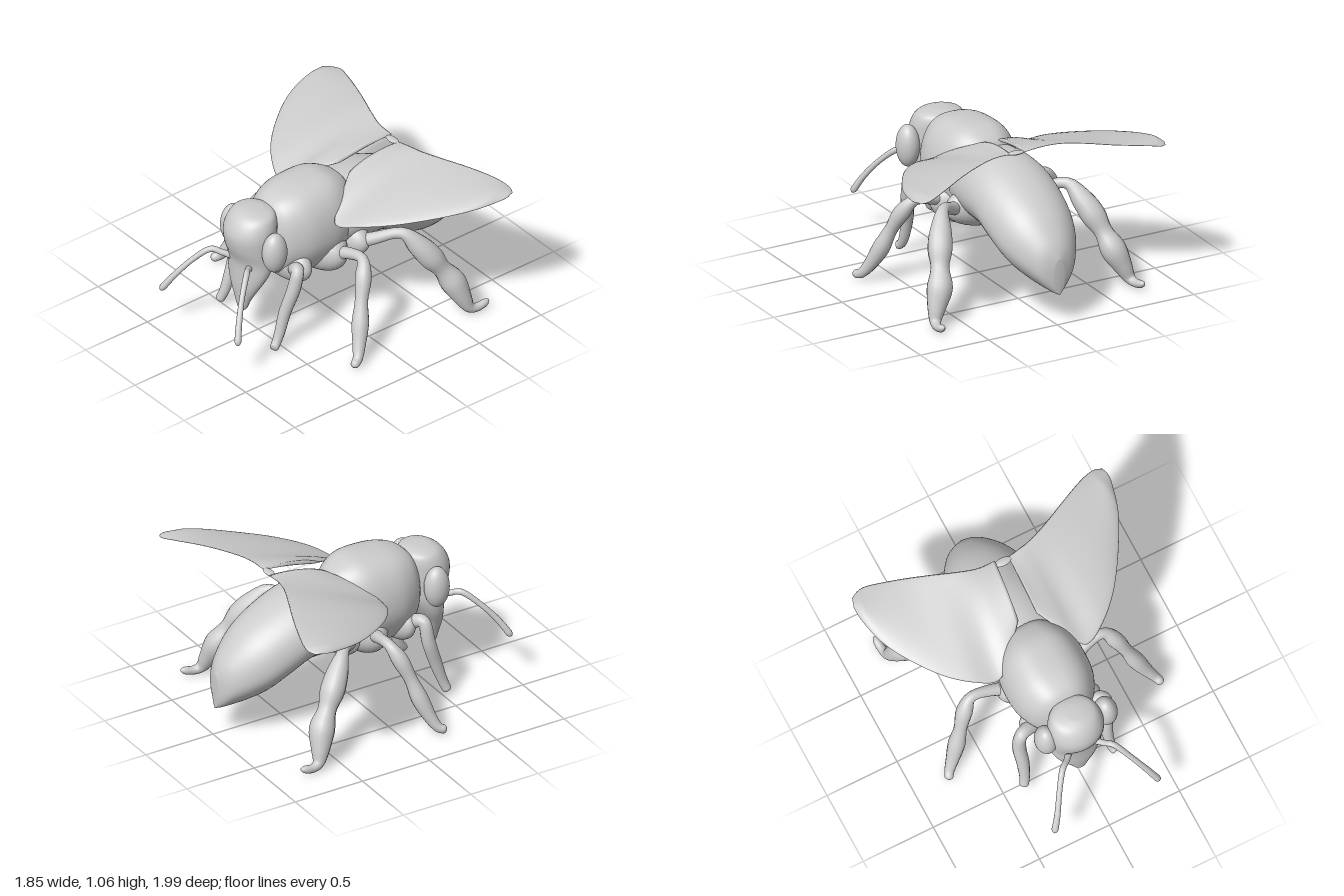
import * as THREE from 'three';

// Smooth interpolation of every column of a table of sections
function sample(rows, n) {
  const curves = rows[0].map((_, c) => new THREE.SplineCurve(rows.map((r, i) => new THREE.Vector2(i, r[c]))));
  return Array.from({ length: n + 1 }, (_, k) => curves.map((s) => s.getPoint(k / n).y));
}

// Closed skin over a list of rings, with capped ends and outward faces
function loft(rings) {
  const m = rings[0].length, pos = [], idx = [];
  rings.forEach((ring) => ring.forEach((p) => pos.push(p.x, p.y, p.z)));
  for (let i = 0; i < rings.length - 1; i++) {
    for (let j = 0; j < m; j++) {
      const a = i * m + j, b = i * m + (j + 1) % m;
      idx.push(a, b, a + m, b, b + m, a + m);
    }
  }
  [0, rings.length - 1].forEach((i) => {
    const c = new THREE.Vector3();
    rings[i].forEach((p) => c.addScaledVector(p, 1 / m));
    const centre = pos.length / 3;
    pos.push(c.x, c.y, c.z);
    for (let j = 0; j < m; j++) {
      const a = i * m + j, b = i * m + (j + 1) % m;
      if (i === 0) idx.push(centre, b, a);
      else idx.push(centre, a, b);
    }
  });
  // Turn the faces round if the enclosed volume is negative
  const v = (i) => new THREE.Vector3().fromArray(pos, i * 3);
  let volume = 0;
  for (let i = 0; i < idx.length; i += 3) volume += v(idx[i]).dot(v(idx[i + 1]).cross(v(idx[i + 2])));
  if (volume < 0) idx.reverse();
  const g = new THREE.BufferGeometry();
  g.setAttribute('position', new THREE.Float32BufferAttribute(pos, 3));
  g.setIndex(idx);
  g.computeVertexNormals();
  return g;
}

const angles = (m) => Array.from({ length: m }, (_, j) => (j / m) * Math.PI * 2);

// Body segment: rows of [z, top, bottom, half width], narrower below; a low power makes it squarer
function bodyGeometry(rows, centreX, pinch, power) {
  return loft(sample(rows, 40).map(([z, top, bottom, rx]) => angles(56).map((a) => {
    const s = Math.sin(a), c = Math.cos(a), narrow = s < 0 ? 1 - pinch * s * s : 1;
    const x = centreX + rx * Math.sign(c) * Math.abs(c) ** power * narrow;
    return new THREE.Vector3(x, (top + bottom) / 2 + s * (top - bottom) / 2, z);
  })));
}

// Head: rows of [y, front z, back z, half width]
function headGeometry(rows) {
  return loft(sample(rows, 40).map(([y, front, back, rx]) => angles(40).map((a) =>
    new THREE.Vector3(-0.012 + rx * Math.cos(a), y, (front + back) / 2 + Math.sin(a) * (front - back) / 2))));
}

// Limb: rows of [x, y, z, radius] with rounded ends
function limbGeometry(rows) {
  const n = 40, pts = sample(rows, n);
  const p = pts.map((q) => new THREE.Vector3(q[0], q[1], q[2]));
  const normal = new THREE.Vector3(0.1, 0.3, 1);
  return loft(p.map((c, k) => {
    const t = p[Math.min(k + 1, n)].clone().sub(p[Math.max(k - 1, 0)]).normalize();
    normal.addScaledVector(t, -normal.dot(t)).normalize();
    const side = t.clone().cross(normal);
    const r = pts[k][3] * Math.sqrt(Math.min(1, (k + 0.2) / 2, (n - k + 0.2) / 2));
    return angles(14).map((a) => c.clone().addScaledVector(normal, r * Math.cos(a)).addScaledVector(side, r * Math.sin(a)));
  }));
}

// Wing: rows of leading edge point then trailing edge point; arched, thicker in front, thin at the tip
function wingGeometry(rows) {
  return loft(sample(rows, 40).map((q) => {
    const lead = new THREE.Vector3(q[0], q[1], q[2]), trail = new THREE.Vector3(q[3], q[4], q[5]);
    const mid = lead.clone().add(trail).multiplyScalar(0.5), half = lead.clone().sub(mid);
    const thin = Math.min(1, half.length() / 0.12);
    return angles(28).map((a) => {
      const s = Math.sin(a), c = Math.cos(a), p = mid.clone().addScaledVector(half, c);
      p.y += thin * (0.014 * s * (1 + 0.4 * c) + 0.018 * s * s);
      return p;
    });
  }));
}

export function createModel() {
  const group = new THREE.Group();
  const clay = new THREE.MeshStandardMaterial({ color: 0xcccccc });
  clay.name = 'grey clay';
  const add = (name, geometry) => {
    const mesh = new THREE.Mesh(geometry, clay);
    mesh.name = name;
    group.add(mesh);
  };
  const ball = (name, x, y, z, rx, ry, rz) =>
    add(name, new THREE.SphereGeometry(1, 36, 24).scale(rx, ry, rz).translate(x, y, z));

  // Trunk
  add('thorax', bodyGeometry([
    [0.47, 0.86, 0.52, 0.11], [0.42, 0.935, 0.43, 0.185], [0.36, 0.98, 0.39, 0.235], [0.25, 1.01, 0.36, 0.278],
    [0.1, 1.02, 0.345, 0.285], [0, 1.015, 0.35, 0.268], [-0.08, 0.985, 0.38, 0.23], [-0.14, 0.945, 0.41, 0.175],
    [-0.18, 0.88, 0.45, 0.11],
  ], -0.01, 0.35, 0.72));
  add('abdomen', bodyGeometry([
    [0.1, 0.82, 0.45, 0.22], [0, 0.88, 0.42, 0.25], [-0.1, 0.915, 0.405, 0.27], [-0.25, 0.925, 0.4, 0.285],
    [-0.4, 0.905, 0.395, 0.29], [-0.55, 0.85, 0.325, 0.288], [-0.7, 0.775, 0.25, 0.267], [-0.82, 0.69, 0.222, 0.222],
    [-0.92, 0.585, 0.21, 0.158], [-0.97, 0.51, 0.205, 0.105], [-0.998, 0.44, 0.205, 0.035],
  ], -0.02, 0.38, 0.92));

  // Rounded ridges across the belly that carry the legs
  ball('frontHips', 0, 0.51, 0.31, 0.285, 0.155, 0.1);
  ball('middleHips', 0, 0.52, 0.06, 0.315, 0.18, 0.15);
  ball('rearHips', 0, 0.54, -0.13, 0.315, 0.15, 0.12);

  // Head with tapering mouth and big side eyes
  add('head', headGeometry([
    [0.205, 0.63, 0.605, 0.015], [0.23, 0.645, 0.59, 0.04], [0.3, 0.655, 0.57, 0.07], [0.4, 0.665, 0.53, 0.125],
    [0.5, 0.665, 0.47, 0.17], [0.6, 0.67, 0.42, 0.185], [0.7, 0.705, 0.4, 0.187], [0.8, 0.72, 0.39, 0.185],
    [0.88, 0.69, 0.39, 0.17], [0.93, 0.64, 0.41, 0.135], [0.95, 0.58, 0.47, 0.05],
  ]));
  for (const s of [-1, 1]) {
    ball('eye', s * 0.213, 0.725, 0.535, 0.075, 0.142, 0.085);

    // Middle and rear legs, the right pair set a little wider
    const reach = s < 0 ? -1.045 : 1, stride = s < 0 ? 0.86 : 1;
    add('middleLeg', limbGeometry([
      [0.2, 0.52, 0.07, 0.05], [0.34, 0.57, 0.03, 0.038], [0.46, 0.585, 0.02, 0.036], [0.525, 0.5, 0.065, 0.054],
      [0.575, 0.37, 0.12, 0.043], [0.62, 0.24, 0.165, 0.056], [0.67, 0.12, 0.215, 0.043], [0.71, 0.05, 0.26, 0.032],
      [0.735, 0.035, 0.315, 0.028],
    ].map(([x, y, z, r]) => [reach * x, y, stride * z, r])));
    add('rearLeg', limbGeometry([
      [0.2, 0.52, -0.11, 0.05], [0.31, 0.575, -0.19, 0.042], [0.44, 0.635, -0.31, 0.037], [0.505, 0.54, -0.395, 0.07],
      [0.55, 0.44, -0.465, 0.08], [0.585, 0.345, -0.525, 0.06], [0.62, 0.24, -0.585, 0.084], [0.665, 0.13, -0.625, 0.062],
      [0.695, 0.05, -0.66, 0.038], [0.71, 0.033, -0.72, 0.028], [0.715, 0.055, -0.8, 0.026],
    ].map(([x, y, z, r]) => [reach * x, y, z, r])));
  }

  // Front legs, posed differently on each side
  add('leftFrontLeg', limbGeometry([
    [0.18, 0.5, 0.35, 0.05], [0.27, 0.55, 0.395, 0.042], [0.275, 0.43, 0.43, 0.044], [0.248, 0.26, 0.48, 0.04],
    [0.245, 0.12, 0.52, 0.034], [0.25, 0.05, 0.555, 0.03], [0.265, 0.035, 0.585, 0.028],
  ]));
  add('rightFrontLeg', limbGeometry([
    [-0.2, 0.52, 0.34, 0.05], [-0.305, 0.56, 0.38, 0.042], [-0.335, 0.42, 0.4, 0.045], [-0.335, 0.26, 0.45, 0.042],
    [-0.345, 0.12, 0.495, 0.034], [-0.365, 0.04, 0.525, 0.03],
  ]));

  // Bent feelers
  add('leftAntenna', limbGeometry([
    [0.07, 0.57, 0.62, 0.024], [0.12, 0.6, 0.68, 0.02], [0.175, 0.615, 0.735, 0.02], [0.25, 0.52, 0.83, 0.018],
    [0.32, 0.4, 0.91, 0.02], [0.375, 0.28, 0.965, 0.023],
  ]));
  add('rightAntenna', limbGeometry([
    [-0.09, 0.57, 0.62, 0.024], [-0.14, 0.6, 0.68, 0.02], [-0.2, 0.615, 0.735, 0.02], [-0.27, 0.53, 0.83, 0.018],
    [-0.33, 0.42, 0.92, 0.02], [-0.385, 0.31, 0.985, 0.023],
  ]));

  // Wings, joined by a narrow bridge at the back
  add('leftWing', wingGeometry([
    [0.085, 0.97, -0.17, 0.09, 1.035, -0.57], [0.2, 0.88, 0, 0.18, 1.045, -0.585], [0.3, 0.8, 0.11, 0.28, 1.045, -0.61],
    [0.46, 0.835, 0.03, 0.42, 1.04, -0.67], [0.62, 0.87, -0.13, 0.56, 1.03, -0.74], [0.77, 0.905, -0.36, 0.7, 1.01, -0.81],
    [0.87, 0.935, -0.56, 0.8, 0.99, -0.85], [0.915, 0.955, -0.73, 0.86, 0.975, -0.86], [0.922, 0.963, -0.79, 0.905, 0.967, -0.845],
  ]));
  add('rightWing', wingGeometry([
    [-0.04, 0.97, -0.18, 0, 1.04, -0.585], [-0.2, 0.88, -0.01, -0.12, 1.05, -0.585], [-0.31, 0.8, 0.07, -0.25, 1.06, -0.62],
    [-0.46, 0.835, 0.02, -0.4, 1.05, -0.68], [-0.62, 0.87, -0.1, -0.55, 1.03, -0.74], [-0.77, 0.91, -0.28, -0.68, 1.015, -0.785],
    [-0.87, 0.94, -0.45, -0.8, 1.0, -0.82], [-0.92, 0.965, -0.62, -0.86, 0.985, -0.82], [-0.93, 0.975, -0.73, -0.91, 0.978, -0.795],
  ]));
  ball('wingBridge', 0.045, 1.035, -0.555, 0.06, 0.012, 0.028);
  return group;
}
